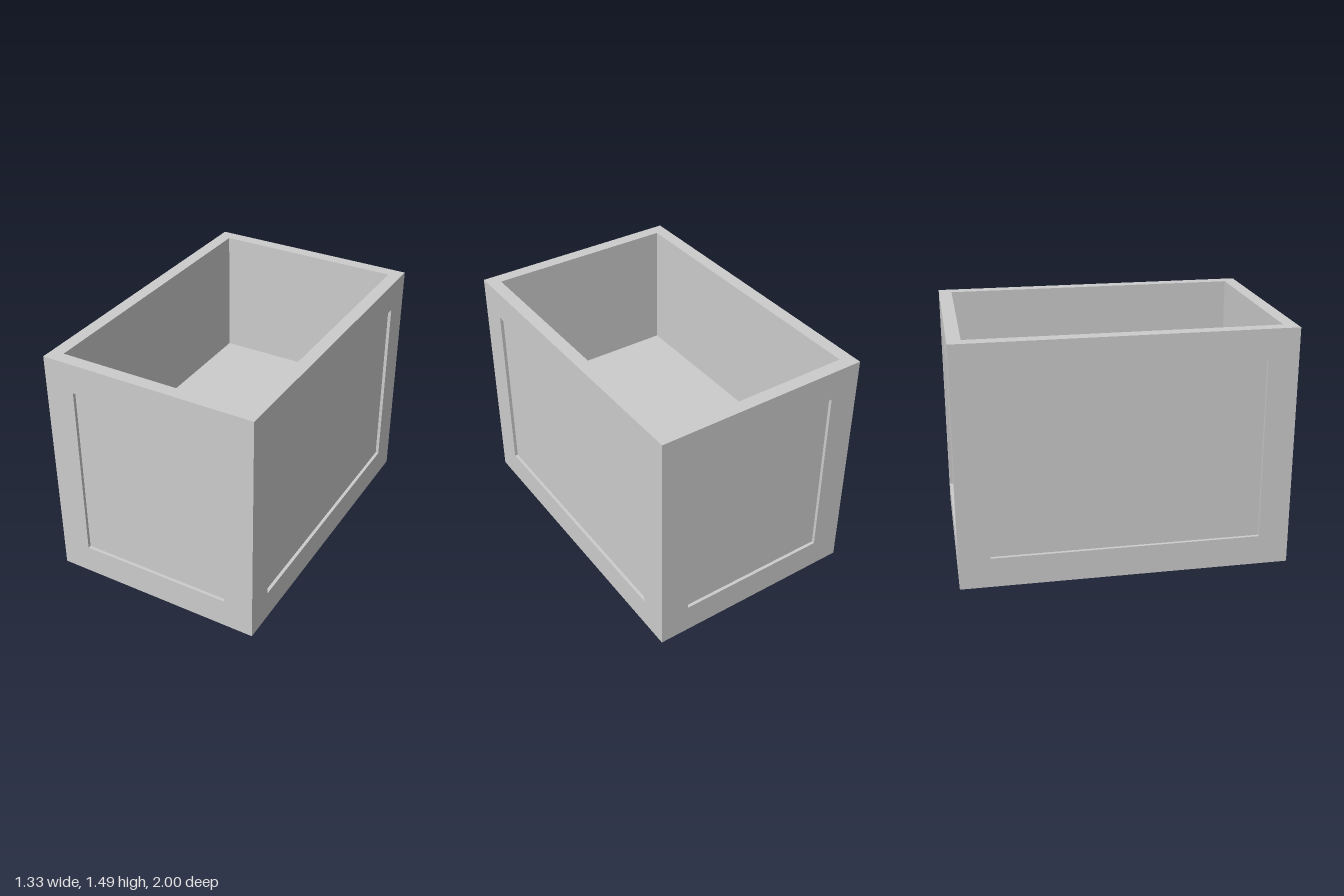
import * as THREE from 'three';

const W = 1.334, H = 1.486, D = 2; // outer size
const WALL = 0.08;                 // rim thickness
const FLOOR = 0.665;               // height of the inside floor
const BORDER = 0.185;              // frame width around each side panel
const RECESS = 0.02;               // how far the panels are set in

const material = new THREE.MeshStandardMaterial({ color: 0xcccccc, flatShading: true });

// A w x h face looking along +z, with an optional rectangular pocket sunk into it
function pocketFace(name, w, h, inset = 0, depth = 0) {
  const ring = (i, z) => [[-1, -1], [1, -1], [1, 1], [-1, 1]]
    .map(([sx, sy]) => [sx * (w / 2 - i), sy * (h / 2 - i), z]);
  const points = [];
  const quad = (a, b, c, d) => points.push(...a, ...b, ...c, ...a, ...c, ...d);

  // border, then pocket walls, then pocket bottom
  const rings = depth > 0 ? [ring(0, 0), ring(inset, 0), ring(inset, -depth)] : [ring(0, 0)];
  for (let r = 0; r + 1 < rings.length; r++) {
    for (let k = 0; k < 4; k++) {
      const n = (k + 1) % 4;
      quad(rings[r][k], rings[r][n], rings[r + 1][n], rings[r + 1][k]);
    }
  }
  quad(...rings[rings.length - 1]);

  const geometry = new THREE.BufferGeometry();
  geometry.setAttribute('position', new THREE.Float32BufferAttribute(points, 3));
  geometry.computeVertexNormals();
  const mesh = new THREE.Mesh(geometry, material);
  mesh.name = name;
  return mesh;
}

export function createModel() {
  const model = new THREE.Group();
  model.name = 'openCrate';

  // Four outer walls with recessed panels
  [['frontWall', W, D], ['leftWall', D, W], ['backWall', W, D], ['rightWall', D, W]]
    .forEach(([name, width, across], i) => {
      const wall = pocketFace(name, width, H, BORDER, RECESS);
      wall.rotation.y = i * Math.PI / 2;
      wall.position.set(0, H / 2, 0);
      wall.translateZ(across / 2);
      model.add(wall);
    });

  // Rim, inner walls and raised floor
  const interior = pocketFace('rimAndInterior', W, D, WALL, H - FLOOR);
  interior.rotation.x = -Math.PI / 2;
  interior.position.y = H;
  model.add(interior);

  // Flat underside
  const base = pocketFace('base', W, D);
  base.rotation.x = Math.PI / 2;
  model.add(base);

  return model;
}
